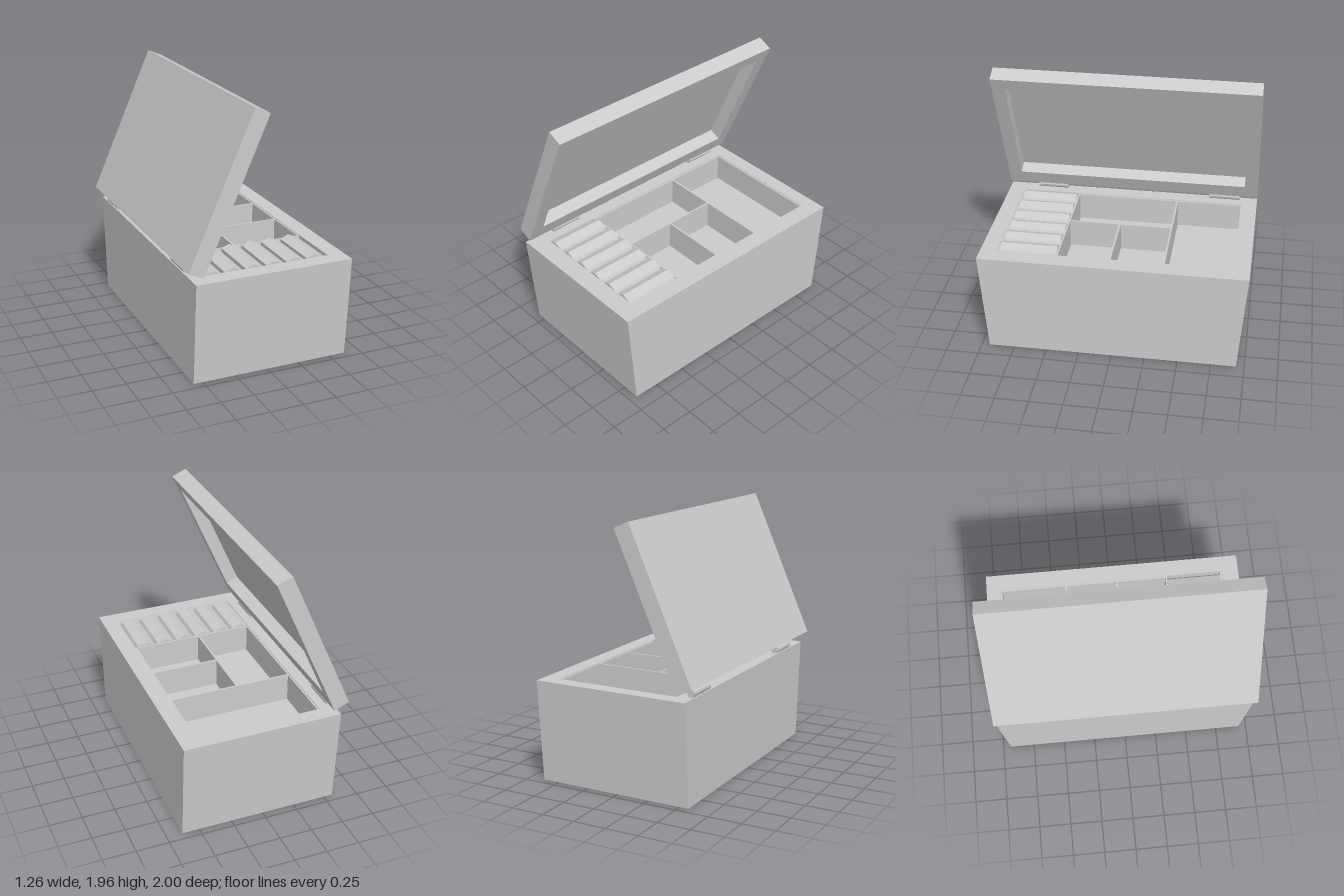
import * as THREE from 'three';

const mat = new THREE.MeshStandardMaterial({ color: 0xcccccc, flatShading: true });

function add(parent, name, geometry) {
  const mesh = new THREE.Mesh(geometry, mat);
  mesh.name = name;
  parent.add(mesh);
  return mesh;
}

// Box given by its lower and upper limits on each axis
function block(parent, name, [x0, x1], [y0, y1], [z0, z1]) {
  const geometry = new THREE.BoxGeometry(x1 - x0, y1 - y0, z1 - z0);
  geometry.translate((x0 + x1) / 2, (y0 + y1) / 2, (z0 + z1) / 2);
  return add(parent, name, geometry);
}

function rect(P, x0, x1, z0, z1) {
  return new P().setFromPoints([[x0, -z1], [x1, -z1], [x1, -z0], [x0, -z0]]
    .map(([x, y]) => new THREE.Vector2(x, y))).closePath();
}

// Rectangular frame lying in the xz plane, rising from y = 0
function frame(outer, inner, height) {
  const shape = rect(THREE.Shape, ...outer);
  shape.holes.push(rect(THREE.Path, ...inner));
  const geometry = new THREE.ExtrudeGeometry(shape, { depth: height, bevelEnabled: false });
  return geometry.rotateX(-Math.PI / 2);
}

export function createModel() {
  const group = new THREE.Group();
  const top = 0.77, floor = 0.55, rim = 0.765, t = 0.014;
  const [xl, xr, zb, zf] = [-0.455, 0.505, -0.89, 0.875];

  // Body, with its two end faces tapering towards the bottom
  const bodyGeometry = frame([-0.57, 0.63, -1, 1], [xl, xr, zb, zf], top);
  const p = bodyGeometry.attributes.position;
  for (let i = 0; i < p.count; i++) {
    if (Math.abs(p.getZ(i)) > 0.95 && p.getY(i) < 0.1) p.setZ(i, 0.94 * Math.sign(p.getZ(i)));
  }
  bodyGeometry.computeVertexNormals();
  add(group, 'body', bodyGeometry);
  block(group, 'bodyFloor', [xl, xr], [0, floor], [zb, zf]);

  // Thin tray lining and compartment dividers
  const tray = new THREE.Group();
  tray.name = 'tray';
  group.add(tray);
  const y = [floor, rim];
  block(tray, 'trayBackWall', [xl, xr], y, [zb, zb + t]);
  block(tray, 'trayFrontWall', [xl, xr], y, [zf - 0.02, zf]);
  block(tray, 'trayLeftWall', [xr - t, xr], y, [zb + t, 0.43]);
  block(tray, 'trayRightWall', [xl, xl + t], y, [zb + t, 0.43]);
  for (const [z, x0] of [[-0.37, xl + t], [0.03, -0.025], [0.425, xl + t]]) {
    block(tray, 'crossDivider', [x0, xr - t], y, [z - t / 2, z + t / 2]);
  }
  block(tray, 'longDivider', [-0.032, -0.018], y, [-0.363, 0.418]);

  // Row of peaked ring cushions
  const profile = [[0, floor], [0.165, floor], [0.165, 0.7], [0.13, 0.765], [0.06, 0.79], [0, 0.765]];
  for (let i = 0; i < 6; i++) {
    const shape = new THREE.Shape(profile.map(([x, h]) => new THREE.Vector2(x, h)));
    const geometry = new THREE.ExtrudeGeometry(shape, { depth: 0.423, bevelEnabled: false });
    add(group, 'ringCushion', geometry).position.set(xl + i * 0.16, 0, 0.432);
  }

  // Hinge barrels
  for (const z of [0.65, -0.74]) {
    const geometry = new THREE.CylinderGeometry(0.03, 0.03, 0.24, 12).rotateX(Math.PI / 2);
    add(group, 'hinge', geometry).position.set(-0.545, 0.797, z);
  }

  // Open lid, leaning back, with a recess on its inner face
  const lid = new THREE.Group();
  lid.name = 'lid';
  lid.position.set(-0.515, 0.812, 0);
  lid.rotation.z = Math.atan2(1.095, 0.48);
  group.add(lid);
  add(lid, 'lidFrame', frame([0, 1.197, -1, 1], [0.123, 1.1, -0.9, 0.9], 0.122));
  block(lid, 'lidPanel', [0.123, 1.1], [0.1, 0.122], [-0.9, 0.9]);

  return group;
}
